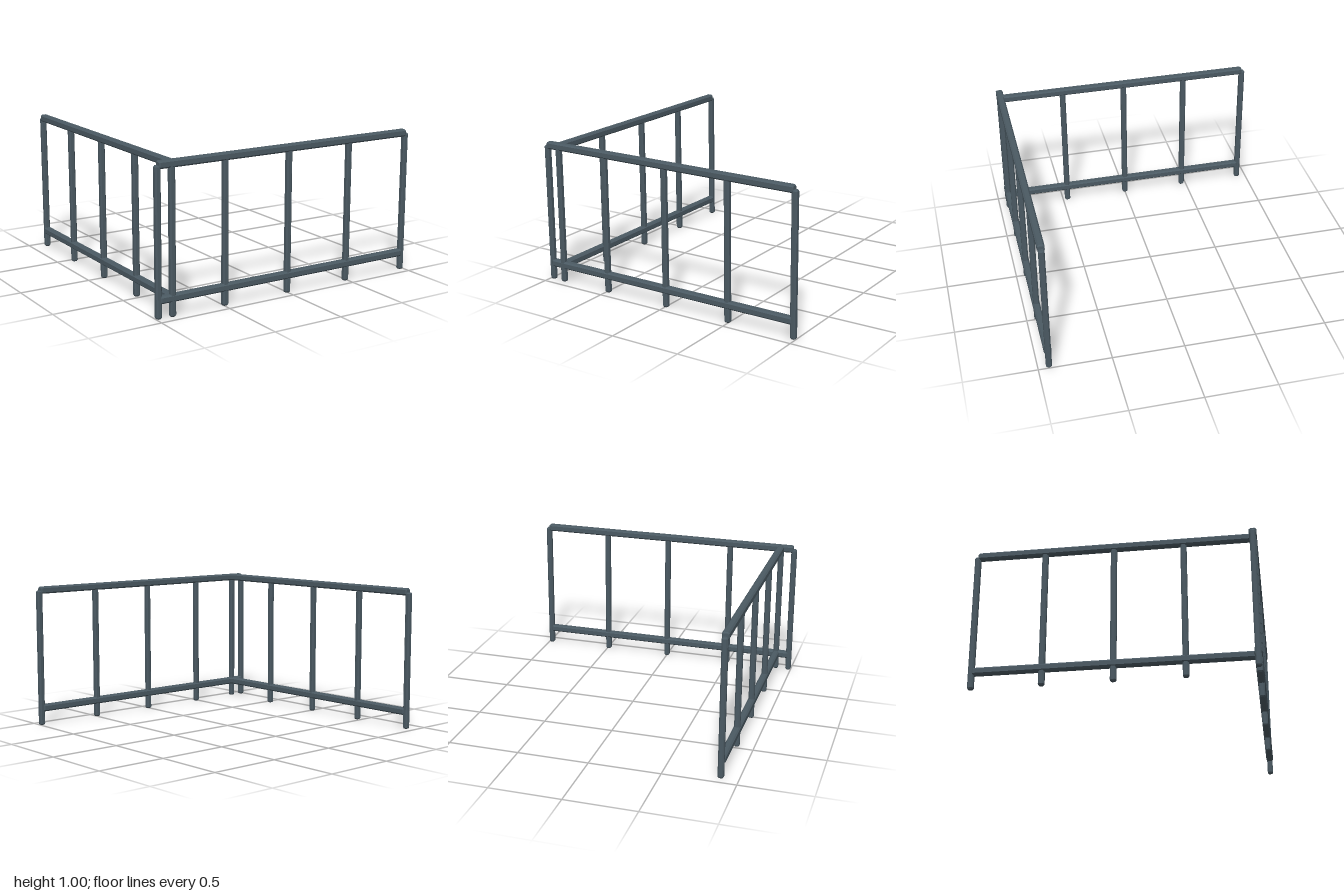
import * as THREE from 'three';

const material = new THREE.MeshStandardMaterial({ color: 0x4b5a63, flatShading: true });

// Square bar with chamfered edges and ends, running along z, centred on the origin.
function barGeometry(size, length, chamfer) {
  const h = size / 2, k = h - chamfer;
  const outline = [[h, -k], [h, k], [k, h], [-k, h], [-h, k], [-h, -k], [-k, -h], [k, -h]];
  const shape = new THREE.Shape(outline.map(([x, y]) => new THREE.Vector2(x, y)));
  const geometry = new THREE.ExtrudeGeometry(shape, {
    depth: length - 2 * chamfer,
    bevelEnabled: true,
    bevelThickness: chamfer,
    bevelSize: chamfer * 0.7,
    bevelOffset: -chamfer * 0.7,
    bevelSegments: 1,
  });
  return geometry.translate(0, 0, chamfer - length / 2);
}

// Railing along x: five evenly spaced posts joined by a top and a bottom rail.
function railing(name, reach) {
  const group = new THREE.Group();
  group.name = name;

  const postGeometry = barGeometry(0.04, 0.975, 0.009).rotateX(Math.PI / 2);
  for (let i = -2; i <= 2; i++) {
    const post = new THREE.Mesh(postGeometry, material);
    post.name = 'post';
    post.position.set((i / 2) * reach, 0.4875, 0);
    group.add(post);
  }

  const railGeometry = barGeometry(0.05, 2 * reach - 0.01, 0.01).rotateY(Math.PI / 2);
  for (const [railName, y] of [['topRail', 0.978], ['bottomRail', 0.122]]) {
    const rail = new THREE.Mesh(railGeometry, material);
    rail.name = railName;
    rail.position.y = y;
    group.add(rail);
  }
  return group;
}

export function createModel() {
  const model = new THREE.Group();
  model.name = 'cornerRailing';

  const front = railing('frontRailing', 0.98);
  front.position.z = 0.925;

  // The side railing meets the front one just inside its end post.
  const side = railing('sideRailing', 0.93);
  side.rotation.y = Math.PI / 2;
  side.position.set(-0.88, 0, -0.001);

  model.add(front, side);
  return model;
}
